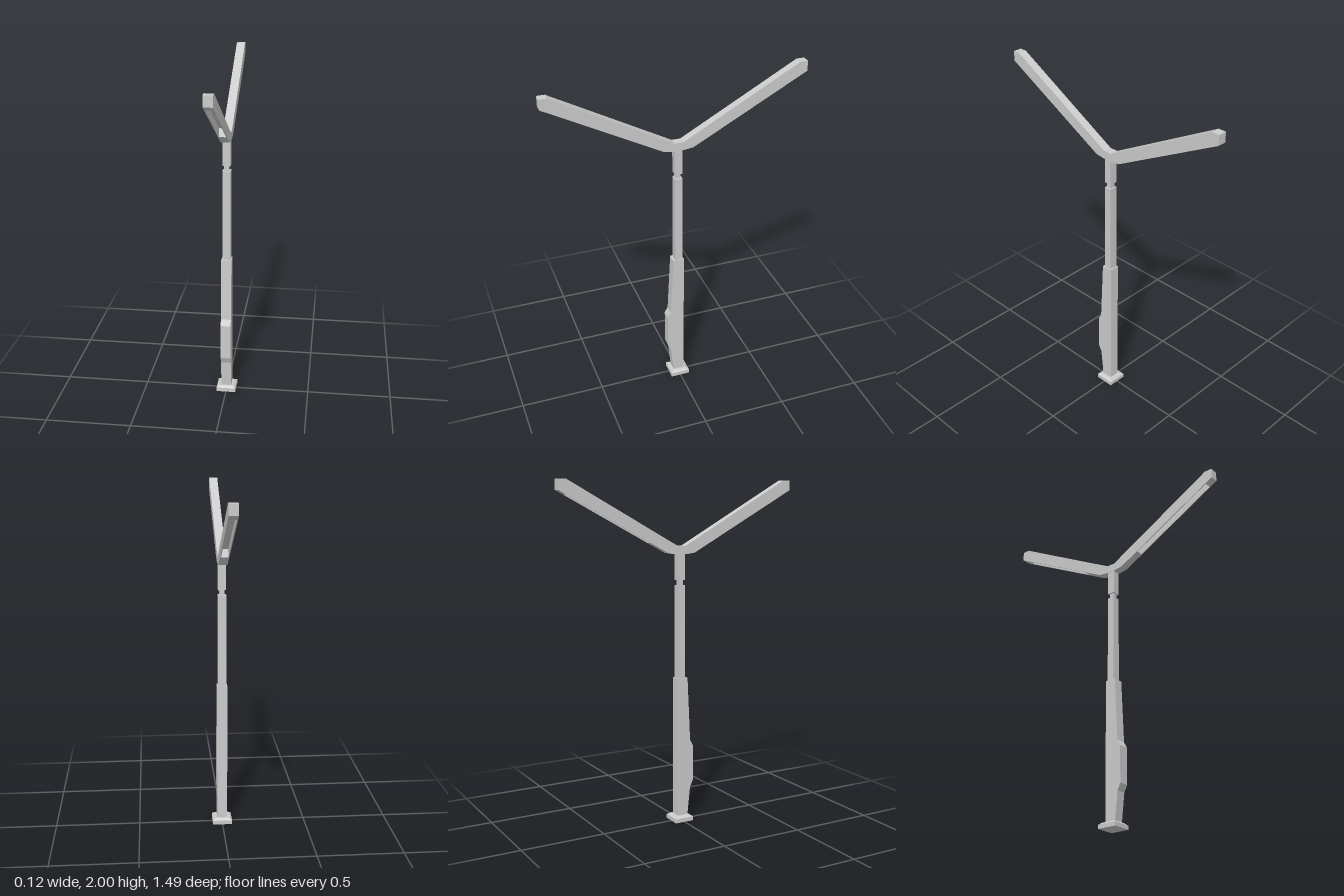
import * as THREE from 'three';

const material = new THREE.MeshStandardMaterial({ color: 0xcccccc, flatShading: true });

function add(group, name, geometry, x = 0, y = 0, z = 0) {
  const mesh = new THREE.Mesh(geometry, material);
  mesh.name = name;
  mesh.position.set(x, y, z);
  group.add(mesh);
}

// Extrude a side profile of [z, y] points across x, centred on x = 0
function sideExtrude(points, width) {
  const shape = new THREE.Shape(points.map(([z, y]) => new THREE.Vector2(z, y)));
  return new THREE.ExtrudeGeometry(shape, { depth: width, bevelEnabled: false })
    .translate(0, 0, -width / 2)
    .rotateY(-Math.PI / 2);
}

// Square block between two heights
function post(halfX, halfZ, y0, y1) {
  return new THREE.BoxGeometry(halfX * 2, y1 - y0, halfZ * 2).translate(0, (y0 + y1) / 2, 0);
}

// Mirror a half profile, listed from the underside outwards to the top, across z = 0
function mirrored(half) {
  return [...half, ...half.map(([z, y]) => [-z, y]).reverse()];
}

export function createModel() {
  const group = new THREE.Group();
  group.name = 'streetLamp';

  // Base plate with a sloped top
  add(group, 'basePlate', post(0.058, 0.058, 0, 0.024));
  const slope = new THREE.CylinderGeometry(0.042 * Math.SQRT2, 0.056 * Math.SQRT2, 0.011, 4, 1);
  add(group, 'baseSlope', slope.rotateY(Math.PI / 4), 0, 0.0295, 0);

  // Lower post with the equipment housing bulging forward
  add(group, 'lowerPost', sideExtrude([
    [-0.03, 0.03], [0.035, 0.03], [0.053, 0.2], [0.072, 0.24],
    [0.072, 0.455], [0.053, 0.49], [0.035, 0.865], [-0.03, 0.865],
  ], 0.06));

  // Middle post, narrow neck and head post
  add(group, 'middlePost', post(0.024, 0.022, 0.86, 1.405));
  add(group, 'neck', post(0.014, 0.014, 1.4, 1.44));
  add(group, 'headPost', post(0.023, 0.022, 1.435, 1.6));

  // Twin arms: a core notched from below, closed by thin cheeks on both sides
  const under = (z) => 1.59 + (z - 0.085) * 0.5333;
  const tip = [[0.745, under(0.745)], [0.745, 2], [0.7, 2], [0.025, 1.63]];
  const heel = [[0.035, 1.583], [0.085, 1.59]];
  const notch = [
    [0.2, under(0.2)], [0.185, under(0.2) + 0.045],
    [0.68, under(0.7) + 0.038], [0.7, under(0.7)],
  ];
  add(group, 'armCore', sideExtrude(mirrored([...heel, ...notch, ...tip]), 0.04));
  for (const side of [-1, 1]) {
    add(group, 'armCheek', sideExtrude(mirrored([...heel, ...tip]), 0.005), side * 0.0225, 0, 0);
  }

  return group;
}
